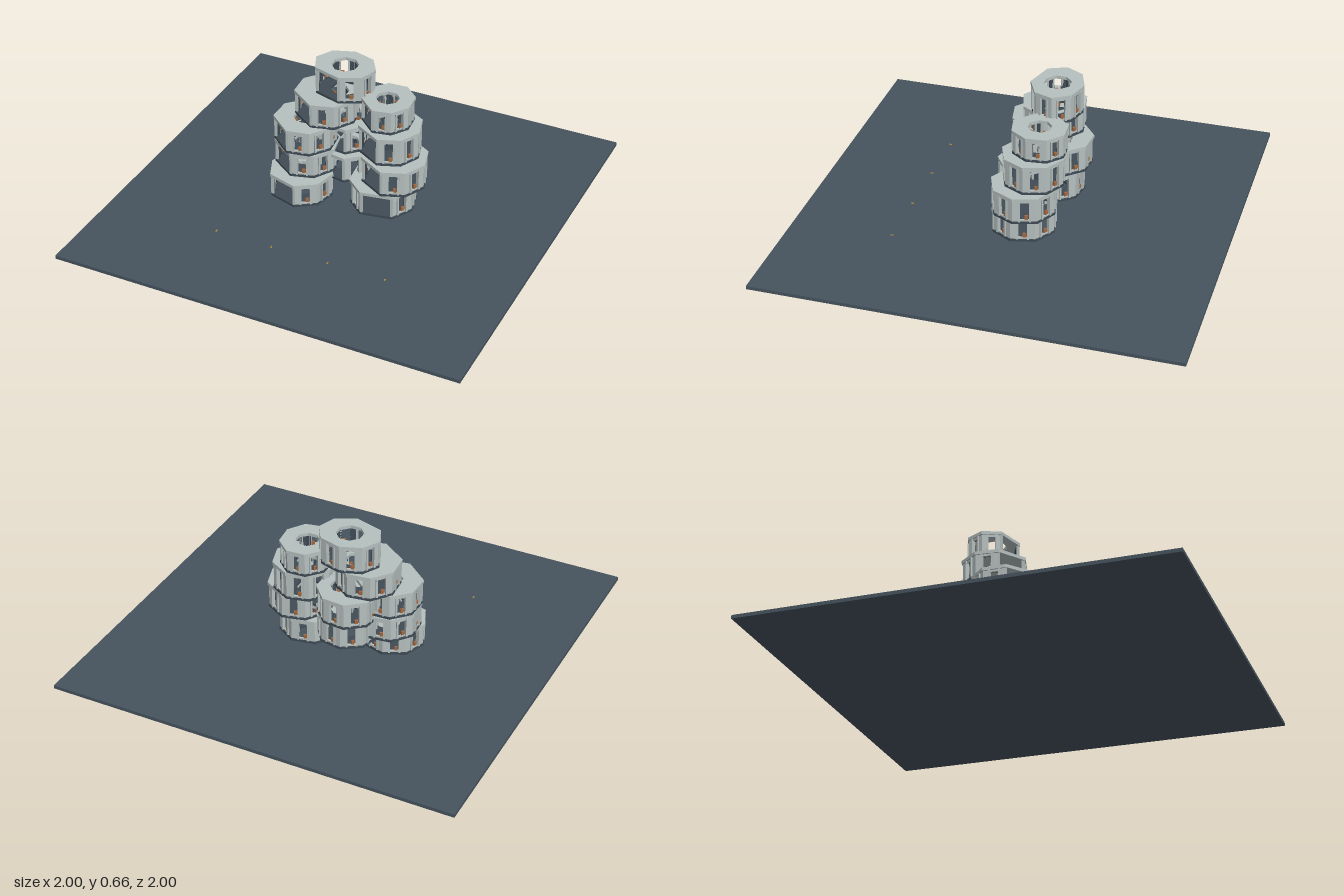
import * as THREE from 'three';

const mat = (name, color) => {
  const m = new THREE.MeshStandardMaterial({ color });
  m.name = name;
  return m;
};

const DEG = Math.PI / 180;

export function createModel() {
  const stone = mat('pale stone', 0xb6c0bf);
  const slate = mat('slate ground', 0x46545e);
  const dark = mat('dark lining', 0x3f4b55);
  const rust = mat('rust planter', 0xa8683c);
  const brass = mat('brass marker', 0xb8923c);

  const model = new THREE.Group();
  model.name = 'terracedTowers';

  const add = (parent, name, geo, material, x = 0, y = 0, z = 0) => {
    const m = new THREE.Mesh(geo, material);
    m.name = name;
    m.position.set(x, y, z);
    parent.add(m);
    return m;
  };

  // Octagon with one wide side facing the angle `open` (degrees, x towards z)
  const corners = (r, sz, open) => {
    const pts = [];
    for (let i = 0; i < 8; i++) {
      const a = (open + 29 + i * (302 / 7)) * DEG;
      pts.push(new THREE.Vector2(Math.cos(a) * r, Math.sin(a) * r * sz));
    }
    return pts;
  };

  // Flat ring slab whose top lies at y = 0
  const slab = (pts, hx, hz, hr, t) => {
    const shape = new THREE.Shape(pts);
    const hole = [];
    for (let i = 0; i < 8; i++) {
      const a = -(i + 0.5) * 45 * DEG;
      hole.push(new THREE.Vector2(hx + Math.cos(a) * hr, hz + Math.sin(a) * hr));
    }
    shape.holes.push(new THREE.Path(hole));
    const g = new THREE.ExtrudeGeometry(shape, { depth: t, bevelEnabled: false });
    return g.rotateX(Math.PI / 2);
  };

  // Wall panel with a tall window, outer face at z = 0
  const panel = (w, h, ww, sill, top, t) => {
    const s = new THREE.Shape([
      new THREE.Vector2(-w / 2, 0), new THREE.Vector2(w / 2, 0),
      new THREE.Vector2(w / 2, h), new THREE.Vector2(-w / 2, h),
    ]);
    s.holes.push(new THREE.Path([
      new THREE.Vector2(-ww / 2, sill), new THREE.Vector2(-ww / 2, top),
      new THREE.Vector2(ww / 2, top), new THREE.Vector2(ww / 2, sill),
    ]));
    return new THREE.ExtrudeGeometry(s, { depth: t, bevelEnabled: false }).translate(0, 0, -t);
  };

  const storey = ({ name, x, z, y, h, r, open, sz = 1, hx = 0, hz = 0, hr = 0.06 }) => {
    const g = new THREE.Group();
    g.name = name;
    g.position.set(x, y, z);
    model.add(g);

    const roofT = 0.016, floorT = 0.012;
    add(g, 'roofSlab', slab(corners(r, sz, open), hx, hz, hr, roofT), stone, 0, h, 0);
    add(g, 'floorSlab', slab(corners(r * 0.98, sz, open), hx, hz, hr, floorT), dark, 0, floorT, 0);

    // Seven windowed sides; the wide side stays open
    const pts = corners(r * 0.955, sz, open);
    const wh = h - roofT - floorT;
    for (let i = 0; i < 7; i++) {
      const a = pts[i], b = pts[i + 1];
      const w = a.distanceTo(b), ww = w * 0.36;
      const side = new THREE.Group();
      side.name = 'windowSide';
      side.position.set((a.x + b.x) / 2, floorT, (a.y + b.y) / 2);
      side.rotation.y = Math.atan2(b.y - a.y, -(b.x - a.x));
      g.add(side);
      const sill = 0.008, top = wh - 0.01;
      add(side, 'wall', panel(w, wh, ww, sill, top, 0.01), stone);
      add(side, 'lining', panel(w * 0.9, wh, ww, sill, top, 0.003), dark, 0, 0, -0.01);
      for (const s of [-1, 1]) {
        add(side, 'windowFin', new THREE.BoxGeometry(0.009, wh, 0.02), stone,
          s * (ww / 2 + 0.0045), wh / 2, -0.003);
      }
      add(side, 'planter', new THREE.BoxGeometry(ww * 0.4, 0.02, 0.008), rust,
        ww * 0.2, sill + 0.01, -0.006);
    }
    // Slim posts framing the open side
    for (const p of [pts[7], pts[0]]) {
      add(g, 'cornerPost', new THREE.BoxGeometry(0.012, wh, 0.012), stone,
        p.x * 0.97, floorT + wh / 2, p.y * 0.97);
    }
  };

  // Ground plate
  add(model, 'groundPlate', new THREE.BoxGeometry(2, 0.017, 2), slate, 0, 0.0085, 0);

  // Left tower and its rear wing
  storey({ name: 'leftStorey1', x: -0.225, z: 0.04, y: 0.017, h: 0.123, r: 0.157, open: 107 });
  storey({ name: 'leftStorey2', x: -0.228, z: -0.03, y: 0.14, h: 0.125, r: 0.157, open: 125 });
  storey({ name: 'leftStorey3', x: -0.232, z: -0.025, y: 0.265, h: 0.127, r: 0.155, open: 130 });
  storey({ name: 'rearStorey1', x: -0.065, z: -0.125, y: 0.103, h: 0.137, r: 0.152, open: 100 });
  storey({ name: 'rearStorey2', x: -0.085, z: -0.155, y: 0.24, h: 0.137, r: 0.152, open: 95, hx: 0.03 });
  storey({ name: 'leftStorey4', x: -0.155, z: -0.1, y: 0.39, h: 0.127, r: 0.157, open: 125, hx: 0.04, hz: -0.015 });
  storey({ name: 'leftStorey5', x: -0.08, z: -0.135, y: 0.517, h: 0.141, r: 0.153, open: 110, sz: 0.82, hr: 0.065 });

  // Right tower, with one shared light well
  const well = (o) => storey({ ...o, hx: 0.148 - o.x, hz: -0.115 - o.z, hr: 0.056 });
  well({ name: 'rightStorey1', x: 0.165, z: -0.045, y: 0.017, h: 0.128, r: 0.163, open: 80 });
  well({ name: 'rightStorey2', x: 0.215, z: -0.06, y: 0.145, h: 0.135, r: 0.16, open: 120 });
  well({ name: 'rightStorey3', x: 0.175, z: -0.095, y: 0.28, h: 0.145, r: 0.153, open: 120 });
  well({ name: 'rightStorey4', x: 0.152, z: -0.115, y: 0.425, h: 0.122, r: 0.125, open: 130, sz: 1.08 });

  // Small markers set into the forecourt
  for (const x of [-0.43, -0.143, 0.143, 0.43]) {
    add(model, 'groundMarker', new THREE.BoxGeometry(0.005, 0.004, 0.014), brass, x, 0.018, 0.515);
  }

  return model;
}
